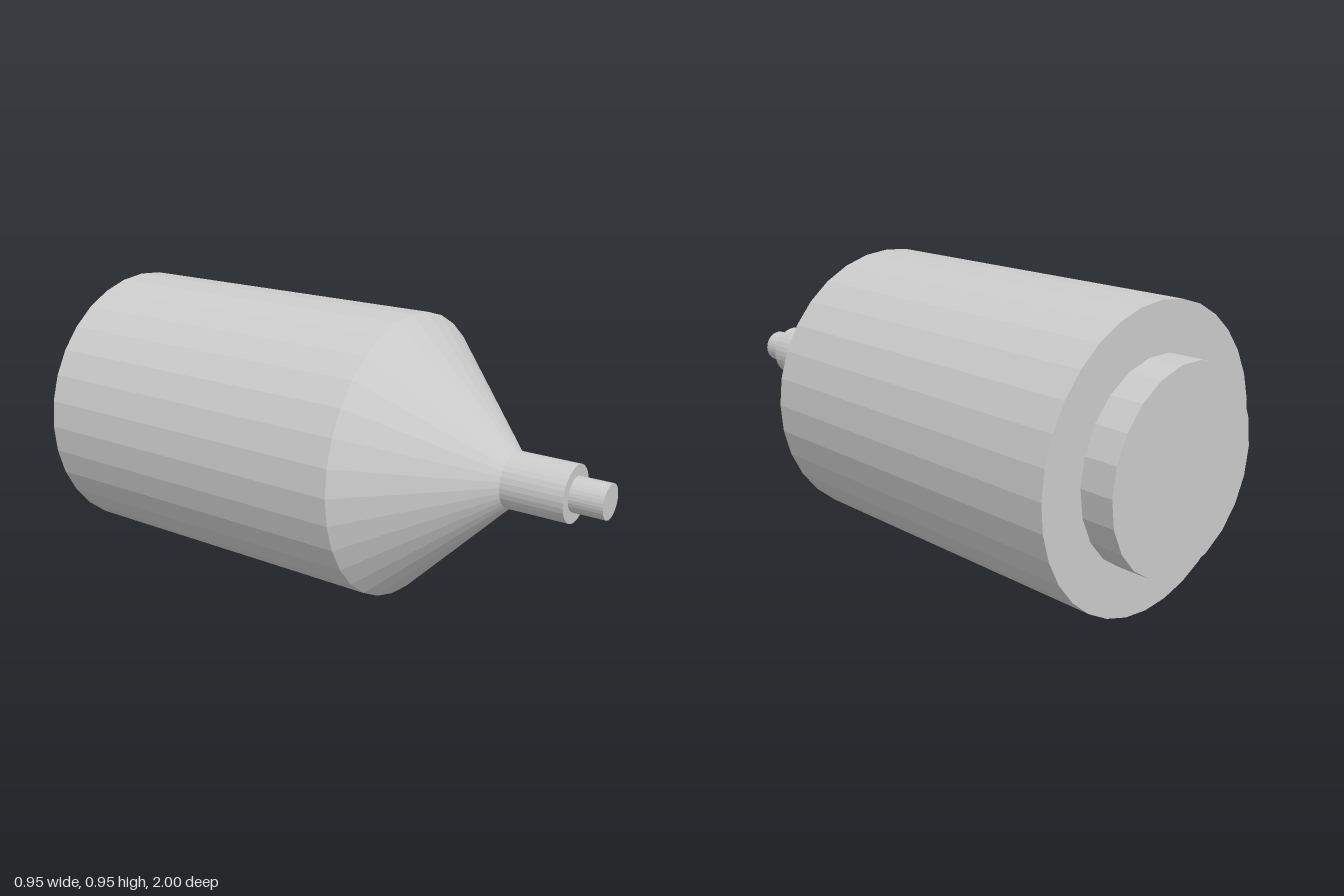
import * as THREE from 'three';

const AXIS_Y = 0.477;
const material = new THREE.MeshStandardMaterial({ color: 0xcccccc, flatShading: true });

// Round section lying along z, from zBack to zFront
function section(name, rBack, rFront, zBack, zFront, sides = 32, turn = 0) {
  const geometry = new THREE.CylinderGeometry(rFront, rBack, zFront - zBack, sides);
  geometry.rotateY(turn);
  geometry.rotateX(Math.PI / 2);
  const mesh = new THREE.Mesh(geometry, material);
  mesh.name = name;
  mesh.position.set(0, AXIS_Y, (zBack + zFront) / 2);
  return mesh;
}

export function createModel() {
  const group = new THREE.Group();
  group.name = 'cylindricalHousing';
  group.add(
    // Raised disc on the rear face
    section('rearCap', 0.32, 0.32, -1, -0.89, 22, Math.PI / 2),
    // Main drum and its tapering front
    section('body', 0.475, 0.475, -0.89, 0.3),
    section('frontCone', 0.475, 0.093, 0.3, 0.68),
    // Stepped nozzle
    section('nozzle', 0.093, 0.093, 0.68, 0.89),
    section('nozzleTip', 0.057, 0.057, 0.89, 1),
  );
  return group;
}
